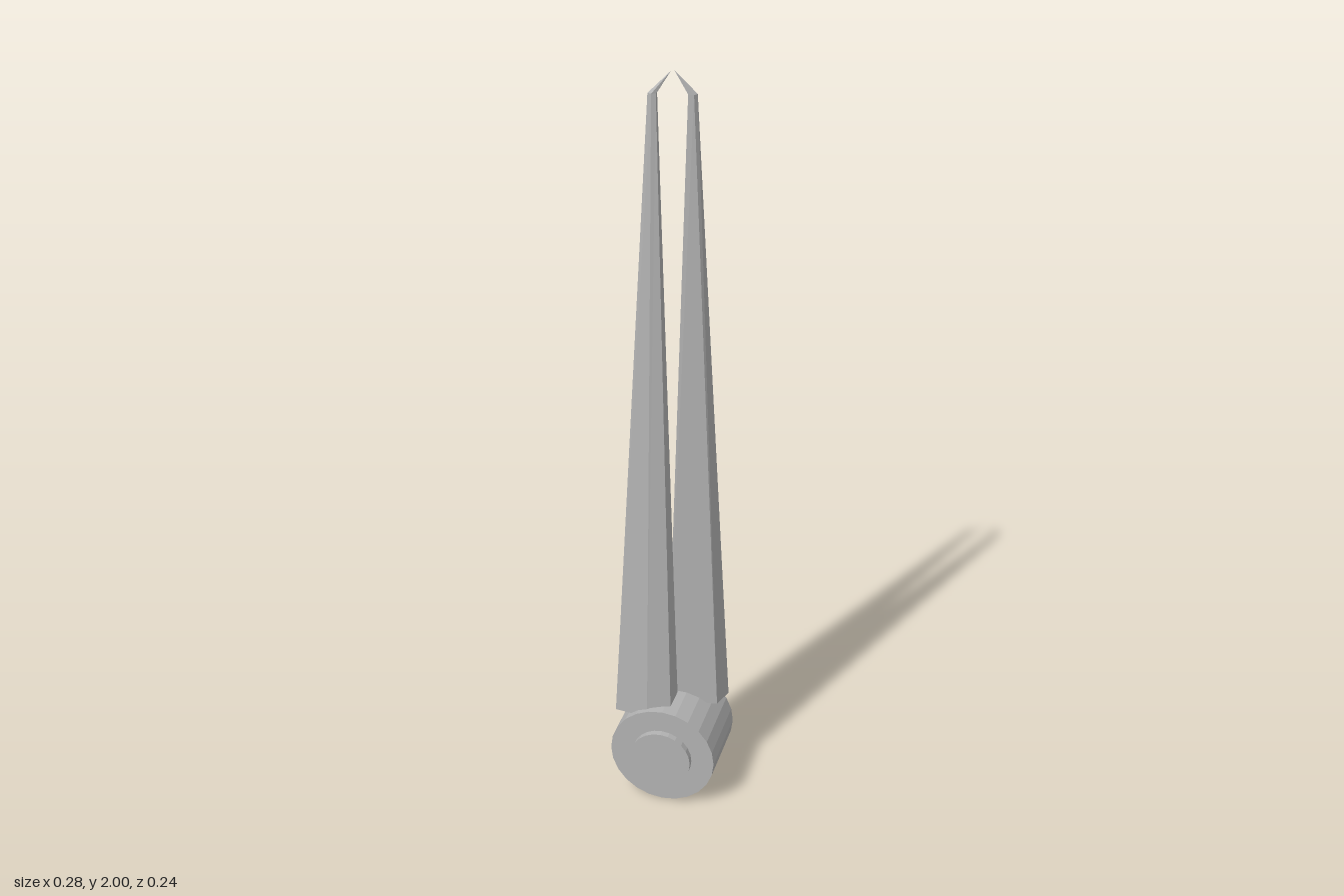
import * as THREE from 'three';

const metal = new THREE.MeshStandardMaterial({ color: 0xb2b2b2, flatShading: true });
metal.name = 'grey metal';

// Tapered five-sided leg: base ring, shoulder ring and a tip bent inward
function legGeometry() {
  const base = [[0.015, 0.001], [-0.118, 0.02], [-0.135, 0.077], [-0.045, 0.089], [0.015, 0.07]];
  const shoulder = [[-0.036, 0.002], [-0.05, 0.002], [-0.056, 0.012], [-0.046, 0.016], [-0.036, 0.012]];
  const n = base.length;
  const points = [
    ...base.map(([x, z]) => [x, 0.25, z]),
    ...shoulder.map(([x, z]) => [x, 1.945, z]),
    [-0.002, 2, 0.004],
  ];
  const index = [];
  for (let i = 0; i < n; i++) {
    const j = (i + 1) % n;
    index.push(i, j, n + j, i, n + j, n + i); // long side
    index.push(n + i, n + j, 2 * n); // point
    if (i > 0 && i < n - 1) index.push(0, i + 1, i); // underside
  }
  const g = new THREE.BufferGeometry();
  g.setAttribute('position', new THREE.Float32BufferAttribute(points.flat(), 3));
  g.setIndex(index);
  const flat = g.toNonIndexed();
  flat.computeVertexNormals();
  return flat;
}

export function createModel() {
  const group = new THREE.Group();
  const add = (name, geometry) => {
    const mesh = new THREE.Mesh(geometry, metal);
    mesh.name = name;
    group.add(mesh);
    return mesh;
  };

  // Hinge barrel and the pin through it, both lying along z
  for (const [name, radius, length] of [['hingeBarrel', 0.142, 0.204], ['hingePin', 0.081, 0.238]]) {
    const g = new THREE.CylinderGeometry(radius, radius, length, 24);
    add(name, g.rotateX(Math.PI / 2)).position.y = 0.142;
  }

  // Two identical legs, the second turned half a circle
  const leg = legGeometry();
  add('frontLeg', leg);
  add('backLeg', leg).rotation.y = Math.PI;

  return group;
}
